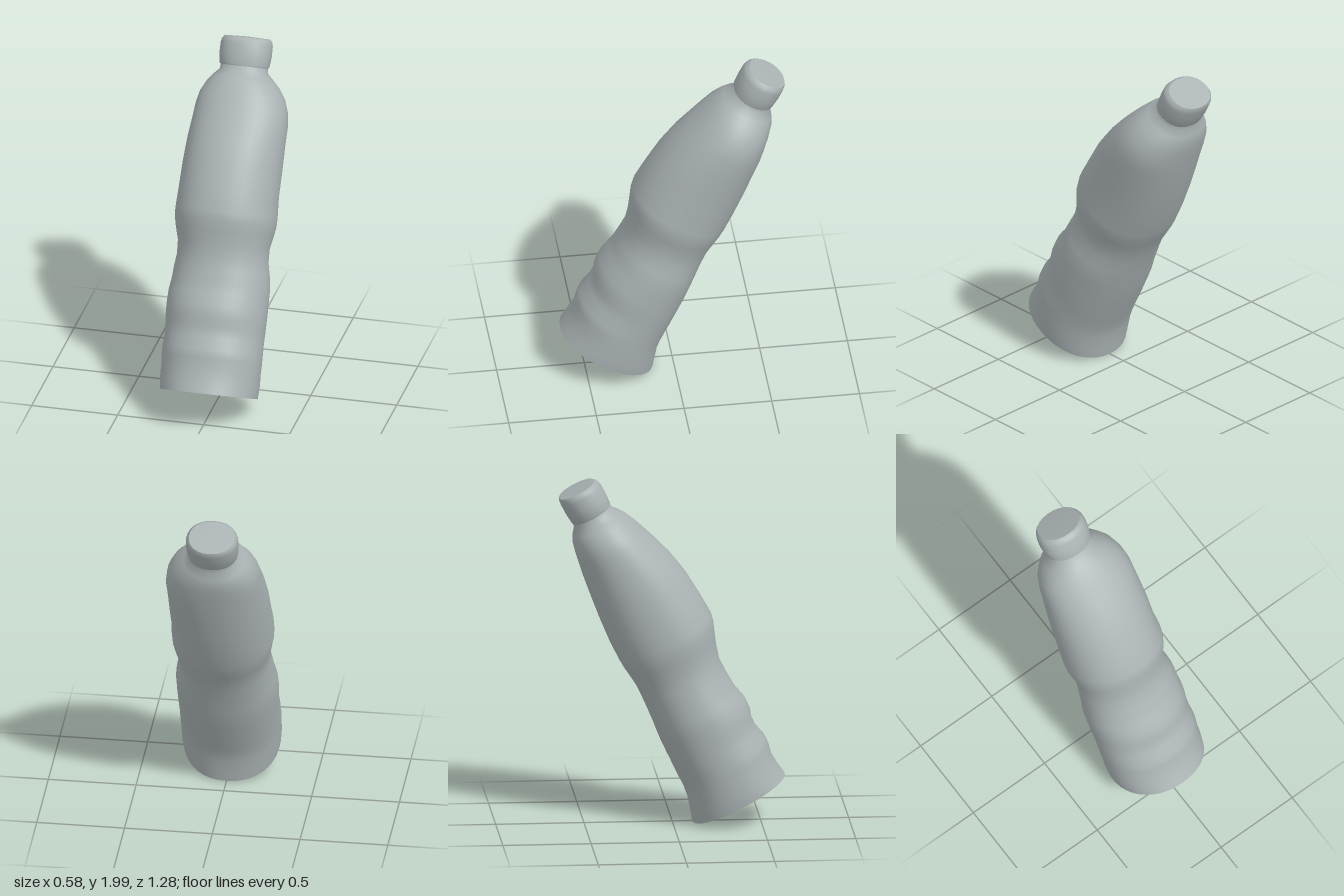
import * as THREE from 'three';

const plastic = new THREE.MeshStandardMaterial({ color: 0xaab2b4 });
plastic.name = 'greyPlastic';

// Stations along the bottle axis: [height, front reach, back reach, half width, sideways shift]
const BODY = [
  [0, 0.295, -0.294, 0.275, 0],
  [0.06, 0.286, -0.275, 0.282, 0],
  [0.14, 0.28, -0.252, 0.282, 0],
  [0.2, 0.293, -0.245, 0.285, 0],
  [0.25, 0.295, -0.244, 0.284, 0],
  [0.32, 0.277, -0.243, 0.282, 0],
  [0.38, 0.277, -0.241, 0.284, 0],
  [0.43, 0.293, -0.24, 0.286, 0],
  [0.5, 0.296, -0.238, 0.287, 0],
  [0.57, 0.278, -0.232, 0.285, 0],
  [0.63, 0.273, -0.226, 0.28, 0.005],
  [0.7, 0.271, -0.221, 0.272, 0.003],
  [0.77, 0.271, -0.217, 0.26, 0],
  [0.85, 0.293, -0.215, 0.26, 0],
  [0.92, 0.318, -0.222, 0.277, 0],
  [0.98, 0.341, -0.229, 0.288, 0],
  [1.03, 0.351, -0.232, 0.289, 0],
  [1.15, 0.346, -0.231, 0.283, 0],
  [1.3, 0.334, -0.22, 0.282, 0.005],
  [1.44, 0.305, -0.205, 0.277, 0.01],
  [1.55, 0.27, -0.192, 0.272, 0.017],
  [1.63, 0.241, -0.179, 0.263, 0.015],
  [1.7, 0.215, -0.168, 0.243, 0.01],
  [1.76, 0.189, -0.155, 0.207, 0.005],
  [1.8, 0.165, -0.135, 0.172, 0],
  [1.835, 0.137, -0.108, 0.137, 0],
  [1.875, 0.128, -0.1, 0.132, 0],
];
const CAP = [
  [1.855, 0.126, -0.1, 0.128, 0],
  [1.87, 0.137, -0.109, 0.142, 0],
  [1.93, 0.14, -0.114, 0.149, 0],
  [1.99, 0.139, -0.114, 0.148, 0],
  [2.012, 0.131, -0.112, 0.142, 0],
  [2.027, 0.115, -0.105, 0.128, 0],
];

// Slightly squared ring of points around the axis
function ring([y, front, back, half, shift], sides) {
  const mid = (front + back) / 2, depth = (front - back) / 2, out = [];
  const soft = (v) => Math.sign(v) * Math.pow(Math.abs(v), 0.93);
  for (let j = 0; j < sides; j++) {
    const a = (j / sides) * Math.PI * 2;
    out.push(shift + half * soft(Math.sin(a)), y, mid + depth * soft(Math.cos(a)));
  }
  return out;
}

function build(name, positions, index) {
  const g = new THREE.BufferGeometry();
  g.setAttribute('position', new THREE.Float32BufferAttribute(positions, 3));
  g.setIndex(index);
  g.computeVertexNormals();
  const mesh = new THREE.Mesh(g, plastic);
  mesh.name = name;
  return mesh;
}

// Skin over successive rings
function loft(name, stations, sides) {
  const pos = stations.flatMap((s) => ring(s, sides)), idx = [];
  for (let i = 0; i < stations.length - 1; i++) {
    for (let j = 0; j < sides; j++) {
      const k = (j + 1) % sides;
      const a = i * sides + j, b = i * sides + k;
      idx.push(a, b, a + sides, b, b + sides, a + sides);
    }
  }
  return build(name, pos, idx);
}

// Disc closing one end, facing up or down
function disc(name, station, sides, up, rise) {
  const pos = ring(station, sides), idx = [];
  pos.push(station[4], station[0] + rise, (station[1] + station[2]) / 2);
  for (let j = 0; j < sides; j++) {
    const k = (j + 1) % sides;
    idx.push(sides, up ? j : k, up ? k : j);
  }
  return build(name, pos, idx);
}

export function createModel() {
  const model = new THREE.Group();
  model.name = 'bottleModel';

  // The whole bottle leans backwards
  const bottle = new THREE.Group();
  bottle.name = 'leaningBottle';
  bottle.rotation.x = -0.472;
  bottle.position.set(0, 0.137, 0.375);
  model.add(bottle);

  bottle.add(
    loft('body', BODY, 40),
    disc('base', BODY[0], 40, false, 0),
    loft('capSide', CAP, 24),
    disc('capUnderside', CAP[0], 24, false, 0),
    disc('capTop', CAP[CAP.length - 1], 24, true, 0.004),
  );
  return model;
}
